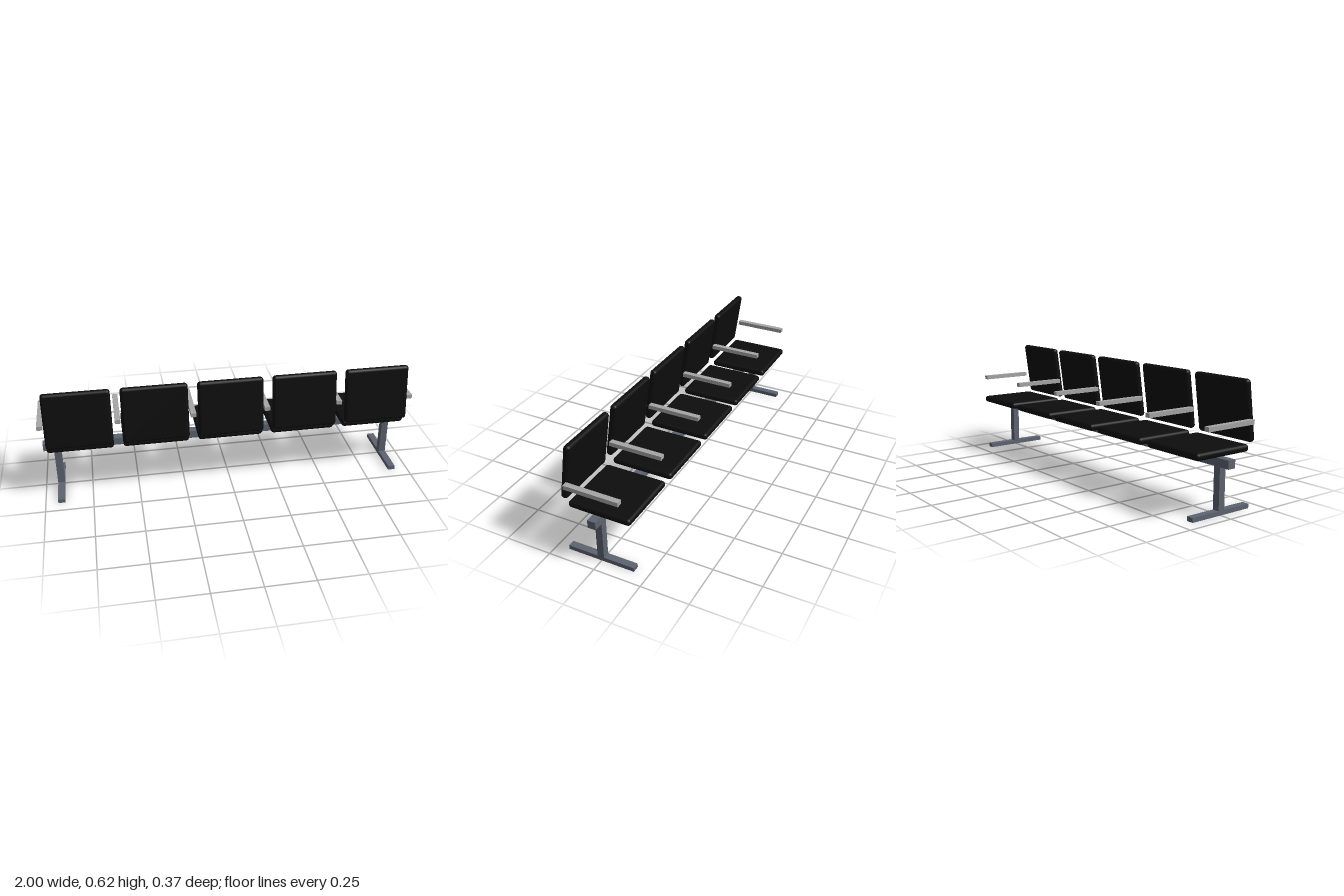
import * as THREE from 'three';
import { RoundedBoxGeometry } from 'three/addons/geometries/RoundedBoxGeometry.js';

const SEATS = 5;
const PITCH = 0.394; // spacing between neighbouring seats
const CX = -0.003; // middle of the row

function makeMaterial(name, color) {
  const material = new THREE.MeshStandardMaterial({ color });
  material.name = name;
  return material;
}

export function createModel() {
  const bench = new THREE.Group();
  bench.name = 'seatingRow';

  const upholstery = makeMaterial('blackUpholstery', 0x0d0d0d);
  const steel = makeMaterial('slateSteel', 0x5e6470);
  const aluminium = makeMaterial('paleAluminium', 0xa6a6a6);

  const add = (name, geometry, material, x, y, z) => {
    const mesh = new THREE.Mesh(geometry, material);
    mesh.name = name;
    mesh.position.set(x, y, z);
    bench.add(mesh);
    return mesh;
  };

  // Square beam carrying the whole row
  add('beam', new THREE.BoxGeometry(1.975, 0.042, 0.043), steel, CX, 0.252, 0.004);

  // T-shaped supports near both ends
  const postGeometry = new THREE.BoxGeometry(0.037, 0.209, 0.036);
  const footGeometry = new THREE.BoxGeometry(0.037, 0.022, 0.36);
  for (const side of [-1, 1]) {
    const x = CX + side * 0.914;
    add('post', postGeometry, steel, x, 0.1265, 0.004);
    add('foot', footGeometry, steel, x, 0.011, 0.004);
  }

  // Padded seats and reclined backrests
  const seatGeometry = new RoundedBoxGeometry(0.345, 0.036, 0.33, 4, 0.0165);
  const backGeometry = new RoundedBoxGeometry(0.345, 0.3, 0.036, 4, 0.0165);
  for (let i = 0; i < SEATS; i++) {
    const x = CX + (i - (SEATS - 1) / 2) * PITCH;
    add('seat', seatGeometry, upholstery, x, 0.303, -0.018);
    const back = add('backrest', backGeometry, upholstery, x, 0.475, 0.148);
    back.rotation.x = -THREE.MathUtils.degToRad(8);
  }

  // Armrests between the seats and at both ends
  const armGeometry = new THREE.BoxGeometry(0.029, 0.022, 0.287);
  for (let i = 0; i <= SEATS; i++) {
    const x = -0.9855 + i * 0.3942;
    add('armrest', armGeometry, aluminium, x, 0.432, -0.0105);
  }

  return bench;
}
